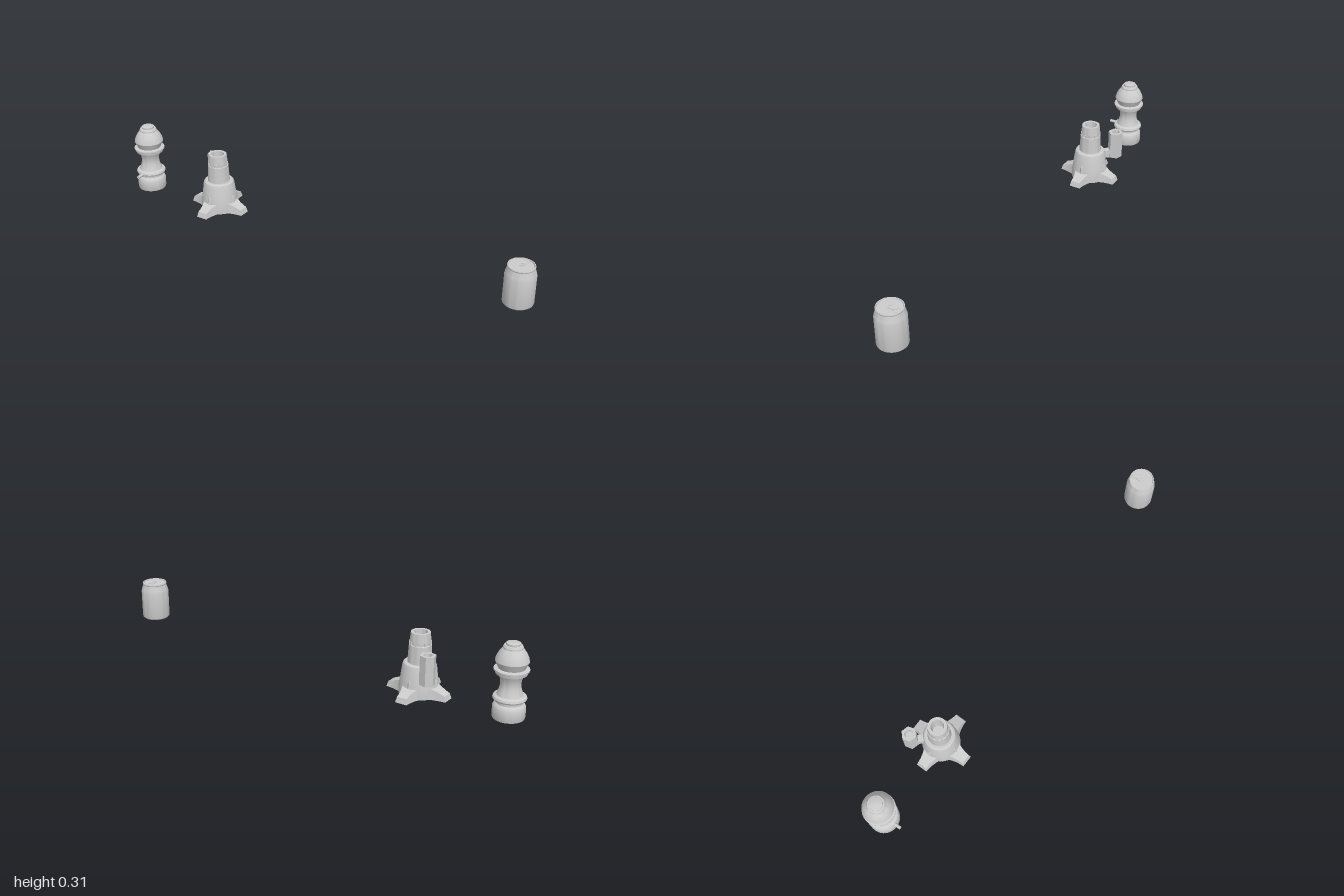
import * as THREE from 'three';
import { toCreasedNormals } from 'three/addons/utils/BufferGeometryUtils.js';

const grey = new THREE.MeshStandardMaterial({ color: 0xcccccc, side: THREE.DoubleSide });

function add(parent, name, geometry, x = 0, y = 0, z = 0) {
  const mesh = new THREE.Mesh(geometry, grey);
  mesh.name = name;
  mesh.position.set(x, y, z);
  parent.add(mesh);
  return mesh;
}

// Turned part from [radius, height] pairs, listed from the bottom up
function turned(profile, segments = 32, crease = 0.5) {
  const points = profile.map(([r, y]) => new THREE.Vector2(r, y));
  return toCreasedNormals(new THREE.LatheGeometry(points, segments), crease);
}

function group(name, x, z) {
  const g = new THREE.Group();
  g.name = name;
  g.position.set(x, 0, z);
  return g;
}

// Turned post with ball top and a small peg on the front
function createPost() {
  const g = group('post', -0.935, 0.009);
  add(g, 'postBase', turned([
    [0, 0], [0.063, 0], [0.065, 0.006], [0.065, 0.048], [0.06, 0.058], [0.053, 0.064],
    [0.053, 0.074], [0.064, 0.078], [0.067, 0.084], [0.064, 0.092], [0.052, 0.097],
  ]));
  add(g, 'postWaist', turned([
    [0.052, 0.097], [0.046, 0.112], [0.041, 0.13], [0.04, 0.145], [0.043, 0.165],
    [0.05, 0.18], [0.062, 0.185], [0.064, 0.195], [0.069, 0.198], [0.069, 0.205], [0.053, 0.208],
  ]));
  add(g, 'postHead', turned([
    [0.053, 0.208], [0.059, 0.222], [0.066, 0.237], [0.062, 0.252], [0.055, 0.266],
    [0.046, 0.28], [0.039, 0.288], [0.039, 0.293], [0.035, 0.3], [0.028, 0.301],
    [0.028, 0.309], [0.026, 0.31], [0, 0.31],
  ]));
  const peg = add(g, 'postPeg', new THREE.CylinderGeometry(0.007, 0.007, 0.055, 12), 0, 0.082, 0.0675);
  peg.rotation.x = Math.PI / 2;
  return g;
}

// Tapering foot: a box reshaped along its length, running out along +z
function footGeometry() {
  const geo = new THREE.BoxGeometry(1, 1, 1, 1, 1, 8);
  const p = geo.attributes.position;
  for (let i = 0; i < p.count; i++) {
    const t = p.getZ(i) + 0.5;
    const top = p.getY(i) > 0;
    const length = top ? 0.131 : 0.138;
    const r = t * length;
    const half = 0.026 + 0.06 * (1 - t) ** 2 - (top ? 0.004 : 0);
    const height = 0.023 + (0.131 - r) * 0.4;
    p.setXYZ(i, Math.sign(p.getX(i)) * half, top ? height : 0, r);
  }
  return toCreasedNormals(geo, 0.4);
}

// Four-footed stand with a hollow nozzle and a hexagonal side canister
function createStand() {
  const g = group('stand', -0.538, 0);
  add(g, 'standBody', turned([
    [0, 0], [0.082, 0], [0.082, 0.035], [0.078, 0.06], [0.07, 0.122],
    [0.066, 0.134], [0.06, 0.138], [0.05, 0.138],
  ]));
  add(g, 'nozzle', turned([
    [0.05, 0.136], [0.046, 0.213], [0.042, 0.215], [0.042, 0.226], [0.0435, 0.227],
    [0.04, 0.265], [0.028, 0.265], [0.024, 0.19], [0, 0.19],
  ]));
  for (let i = 0; i < 12; i++) {
    const a = (i / 12) * Math.PI * 2;
    const tooth = add(g, 'nozzleTooth', new THREE.BoxGeometry(0.009, 0.013, 0.006),
      Math.sin(a) * 0.042, 0.221, Math.cos(a) * 0.042);
    tooth.rotation.y = a;
  }
  const foot = footGeometry();
  for (let i = 0; i < 4; i++) add(g, 'foot', foot).rotation.y = (i * Math.PI) / 2;

  // Canister and its arm sit on the back right diagonal
  const side = new THREE.Group();
  side.name = 'sideCanister';
  side.rotation.y = Math.PI * 1.25;
  g.add(side);
  const canister = add(side, 'canister', turned([
    [0, 0.089], [0.033, 0.089], [0.033, 0.213], [0.02, 0.213], [0.018, 0.19], [0, 0.19],
  ], 6, 0.3), 0, 0, 0.121);
  canister.rotation.y = Math.PI / 6;
  add(side, 'canisterArm', new THREE.BoxGeometry(0.03, 0.036, 0.05), 0, 0.107, 0.08);
  return g;
}

// Drinks can with recessed lid, tab and opening
function createCan() {
  const g = group('can', 0.935, 0.008);
  add(g, 'canBody', turned([
    [0, 0.008], [0.035, 0.006], [0.048, 0], [0.054, 0], [0.062, 0.007], [0.0635, 0.012],
    [0.0635, 0.134], [0.061, 0.145], [0.055, 0.163], [0.054, 0.168], [0.056, 0.172],
    [0.055, 0.176], [0.052, 0.176], [0.05, 0.17], [0, 0.17],
  ], 40));
  const tabShape = new THREE.Shape().absellipse(0, 0, 0.012, 0.021, 0, Math.PI * 2);
  tabShape.holes.push(new THREE.Path().absellipse(0, -0.009, 0.006, 0.007, 0, Math.PI * 2));
  const tabGeo = new THREE.ExtrudeGeometry(tabShape, { depth: 0.003, bevelEnabled: false, curveSegments: 12 });
  tabGeo.rotateX(-Math.PI / 2);
  add(g, 'canTab', tabGeo, 0, 0.174, -0.012);
  add(g, 'canTabRivet', new THREE.CylinderGeometry(0.005, 0.005, 0.006, 12), 0, 0.173, -0.018);
  const rim = add(g, 'canOpeningRim', new THREE.TorusGeometry(0.014, 0.001, 6, 24), 0, 0.17, -0.032);
  rim.rotation.x = Math.PI / 2;
  return g;
}

export function createModel() {
  const model = new THREE.Group();
  model.name = 'threeObjects';
  model.add(createPost(), createStand(), createCan());
  return model;
}
